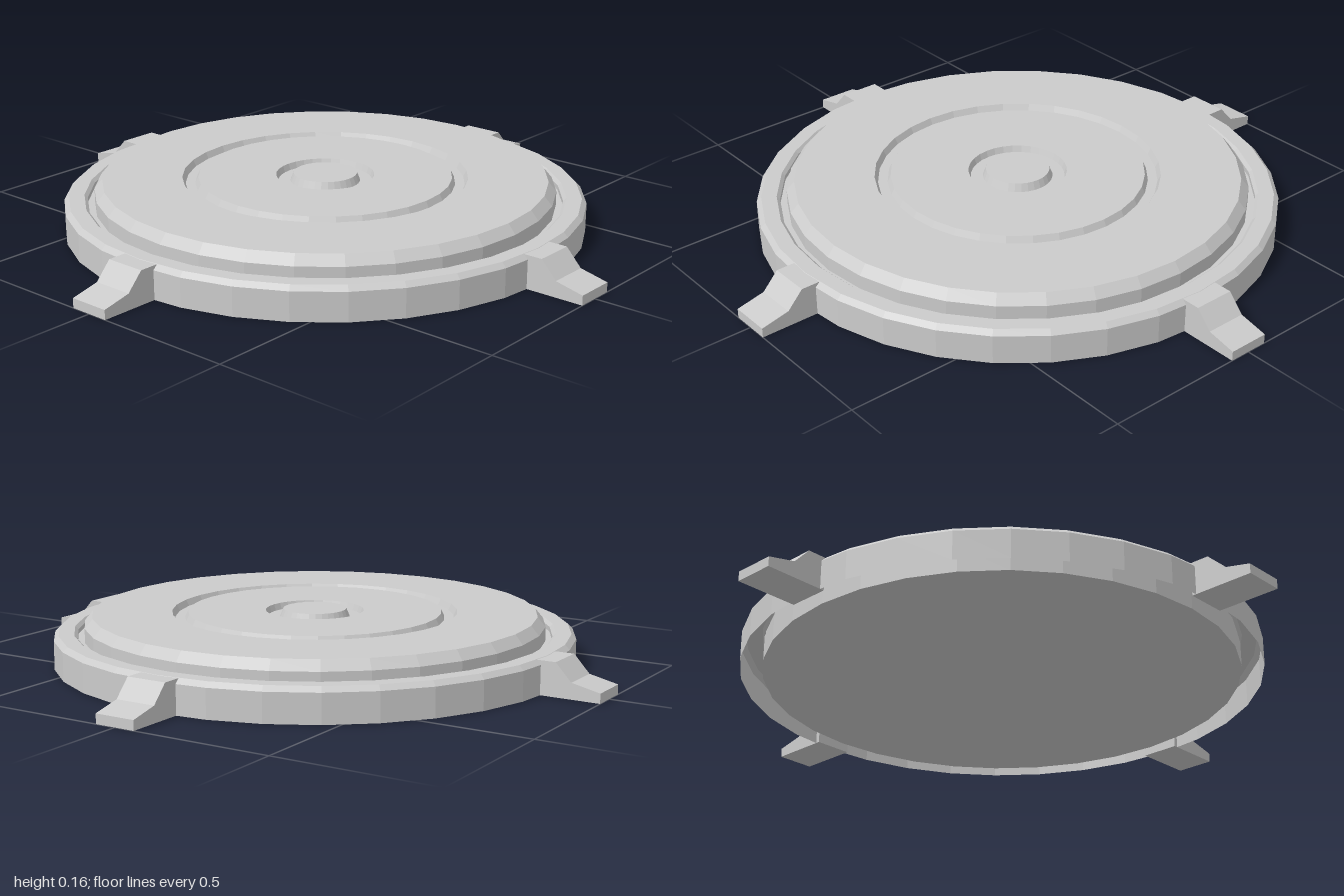
import * as THREE from 'three';

const SIDES = 32;

export function createModel() {
  const model = new THREE.Group();
  const material = new THREE.MeshStandardMaterial({
    color: 0xcccccc, flatShading: true, side: THREE.DoubleSide,
  });

  const addLathe = (name, profile) => {
    const points = profile.map(([r, y]) => new THREE.Vector2(r, y));
    const mesh = new THREE.Mesh(new THREE.LatheGeometry(points, SIDES), material);
    mesh.name = name;
    model.add(mesh);
  };

  // Raised plate with a bevelled edge, two ring grooves and a centre button
  addLathe('plate', [
    [0, 0], [0.75, 0], [0.75, 0.08], [0.725, 0.08], [0.725, 0.125], [0.7, 0.155],
    [0.45, 0.155], [0.44, 0.135], [0.41, 0.135], [0.4, 0.155],
    [0.155, 0.155], [0.148, 0.135], [0.11, 0.135], [0.1, 0.16], [0, 0.16],
  ]);

  // Outer rim, an open shell around the plate
  addLathe('rim', [
    [0.82, 0], [0.82, 0.09], [0.805, 0.105], [0.757, 0.105], [0.747, 0.095], [0.747, 0.08],
  ]);

  // Four sloping feet
  const footShape = new THREE.Shape([
    [0.8, 0], [1, 0], [1, 0.03], [0.91, 0.05], [0.86, 0.104], [0.8, 0.104],
  ].map(([x, y]) => new THREE.Vector2(x, y)));
  const footGeometry = new THREE.ExtrudeGeometry(footShape, { depth: 0.13, bevelEnabled: false });
  footGeometry.translate(0, 0, -0.065);
  for (let i = 0; i < 4; i++) {
    const foot = new THREE.Mesh(footGeometry, material);
    foot.name = 'foot' + (i + 1);
    foot.rotation.y = i * Math.PI / 2;
    model.add(foot);
  }

  return model;
}
